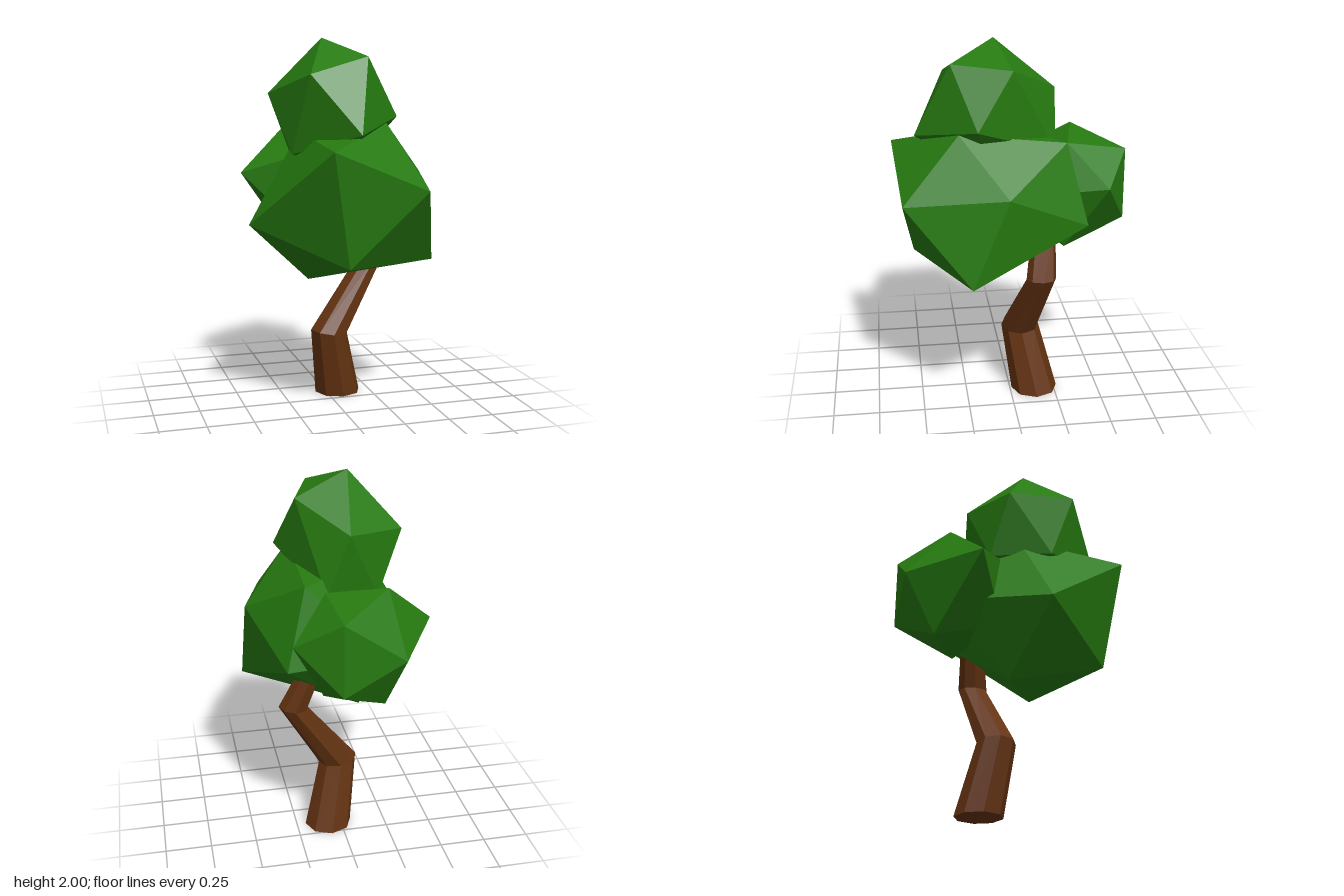
import * as THREE from 'three';
import { ConvexGeometry } from 'three/addons/geometries/ConvexGeometry.js';

const leaf = new THREE.MeshStandardMaterial({ color: 0x267a10, flatShading: true });
const bark = new THREE.MeshStandardMaterial({ color: 0x643311, flatShading: true });

// Faceted clump of leaves: the 12 corners of an uneven icosahedron
function clump(name, corners) {
  const points = corners.map((c) => new THREE.Vector3(...c));
  const mesh = new THREE.Mesh(new ConvexGeometry(points), leaf);
  mesh.name = name;
  return mesh;
}

// Crooked trunk: cylinder rows moved onto rings of [x, y, z, radius, slope]
function trunk() {
  const rings = [
    [0.16, 1.0, -0.17, 0.065, 0],
    [0.26, 0.765, -0.145, 0.08, 0.1],
    [0, 0.375, -0.065, 0.105, -0.15],
    [0.07, 0, -0.14, 0.13, 0],
  ];
  const geo = new THREE.CylinderGeometry(1, 1, 3, 8, 3);
  const pos = geo.attributes.position;
  for (let i = 0; i < pos.count; i++) {
    const [x, y, z, r, slope] = rings[Math.round(1.5 - pos.getY(i))];
    const dx = pos.getX(i) * r;
    pos.setXYZ(i, x + dx, y + slope * dx, z + pos.getZ(i) * r);
  }
  geo.computeVertexNormals();
  const mesh = new THREE.Mesh(geo, bark);
  mesh.name = 'trunk';
  return mesh;
}

export function createModel() {
  const tree = new THREE.Group();
  tree.name = 'tree';
  tree.add(
    trunk(),
    // Large clump in front
    clump('mainFoliage', [
      [-0.49, 1.03, 0.12], [-0.17, 1.44, 0.62], [0.34, 1.23, 0.58], [0.49, 0.82, 0.24],
      [0.48, 1.29, 0.05], [-0.06, 0.84, 0.52], [-0.13, 0.69, -0.03], [0.21, 1.56, 0.28],
      [0.32, 1.08, -0.38], [-0.19, 1.51, 0.01], [0.21, 1.5, -0.28], [-0.18, 1.1, -0.34],
    ]),
    // Clump at the crown
    clump('topFoliage', [
      [-0.08, 2.0, 0.07], [0.1, 1.9, 0.31], [-0.21, 1.81, 0.33], [0.21, 1.88, 0],
      [-0.34, 1.71, -0.07], [-0.03, 1.74, -0.25], [0.01, 1.51, 0.5], [0.3, 1.59, 0.19],
      [-0.2, 1.38, -0.15], [0.09, 1.42, -0.24], [-0.27, 1.4, 0.18], [0.04, 1.28, 0.11],
    ]),
    // Smaller clump behind
    clump('backFoliage', [
      [-0.46, 1.27, -0.24], [-0.2, 1.5, -0.37], [-0.24, 1.2, -0.61], [0.08, 1.42, -0.62],
      [0.31, 1.27, -0.49], [0.11, 1.47, -0.3], [0.08, 1.03, -0.62], [-0.175, 0.89, -0.44],
      [0.12, 0.89, -0.29], [0.16, 1.2, -0.1], [-0.18, 0.98, -0.08], [-0.18, 1.37, -0.08],
    ]),
  );
  return tree;
}
